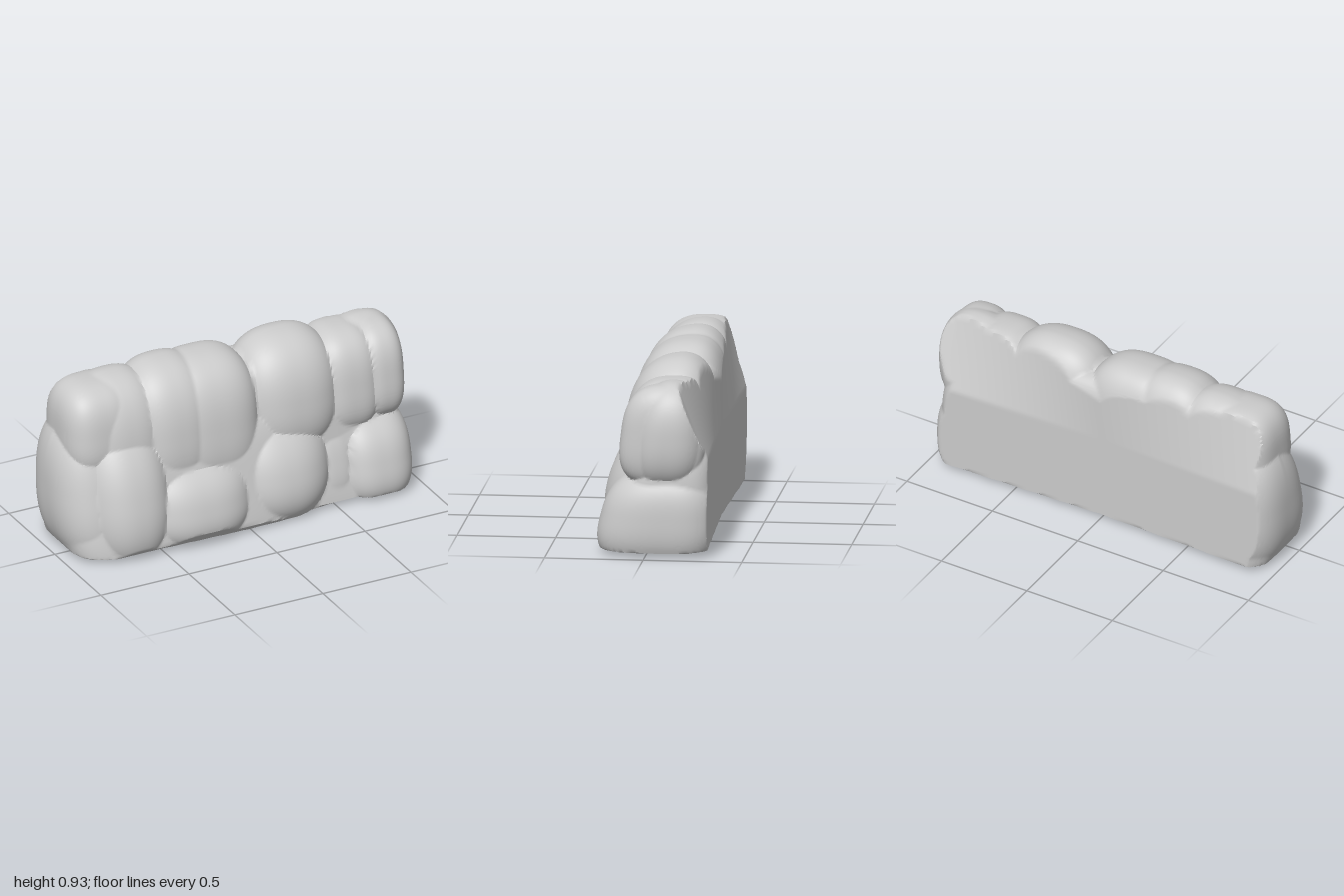
import * as THREE from 'three';
import { mergeVertices, toCreasedNormals } from 'three/addons/utils/BufferGeometryUtils.js';

// Each stone: x range, y range, front z, roundness exponent
const LOWER = [
  [-0.96, 0.4, -0.15, 0.67, 0.215, 4], // fill behind the joints
  [0.1, 0.95, -0.15, 0.63, 0.155, 4],
  [-1.0, -0.5, -0.06, 0.74, 0.17, 2.6],
  [-0.9, -0.38, -0.1, 0.74, 0.27, 2.4],
  [-0.62, 0.08, -0.06, 0.47, 0.3, 2.6],
  [-0.1, 0.54, -0.07, 0.58, 0.265, 2.3],
  [0.34, 0.7, -0.07, 0.52, 0.17, 2.6],
  [0.53, 0.985, -0.07, 0.45, 0.24, 2.8],
];
const UPPER = [
  [-0.93, 0.93, -0.2, 0.82, 0.135, 5], // fill behind the joints
  [-0.945, -0.55, 0.41, 0.895, 0.115, 3],
  [-0.86, -0.38, 0.2, 0.91, 0.15, 2.6],
  [-0.6, -0.1, 0.22, 0.93, 0.17, 2.6],
  [-0.42, 0.15, 0.2, 0.915, 0.175, 2.8],
  [0.04, 0.61, 0.27, 0.925, 0.16, 2.5],
  [0.47, 0.83, 0.32, 0.872, 0.13, 3],
  [0.7, 0.965, 0.36, 0.875, 0.13, 3],
  [0.6, 1.0, 0.34, 0.885, 0.06, 2.5],
];
// The lower course leans back more and is deeper than the upper one
const COURSES = [
  { stones: LOWER, lean: 0.25, back: 0.25 },
  { stones: UPPER, lean: 0.12, back: 0.19 },
];
const MID_Z = -0.11;

function insideStone([x0, x1, y0, y1, front, p], lean, back, x, y, z) {
  const yc = (y0 + y1) / 2;
  const dx = Math.abs((x - (x0 + x1) / 2) / ((x1 - x0) / 2));
  const dy = Math.abs((y - yc) / ((y1 - y0) / 2));
  if (dx > 1 || dy > 1) return false;
  const mid = z - MID_Z;
  const forward = (mid + lean * (y - yc)) / (front - MID_Z);
  const dz = mid < 0 ? -mid / back : Math.max(0, forward);
  return dx ** p + dy ** p + dz ** p < 1;
}

// Stones are cut by a flat underside and a back that leans forward at its upper ends
function inside(x, y, z) {
  const floor = 0.025 * Math.min(1, Math.abs(x) / 0.5);
  if (y < Math.max(floor, 0.03 * (0.22 - z) / 0.47)) return false;
  // Bevel along the front foot
  if (z > 0.21 + 1.1 * y) return false;
  const end = Math.min(1, Math.abs(x) / 0.9);
  const lean = (x > 0 ? 0.4 : 0.26) * Math.max(0, y - 0.5) * end;
  if (z < -0.283 - (x > 0 ? 0.031 : 0.02) * end + lean) return false;
  return COURSES.some(({ stones, lean: l, back }) =>
    stones.some((s) => insideStone(s, l, back, x, y, z)));
}

function createWallGeometry() {
  let geo = new THREE.BoxGeometry(2, 0.9, 0.6, 150, 64, 40);
  geo.deleteAttribute('normal');
  geo.deleteAttribute('uv');
  geo = mergeVertices(geo);
  const pos = geo.attributes.position;
  const a = new THREE.Vector3(), d = new THREE.Vector3();
  for (let i = 0; i < pos.count; i++) {
    // Push each point along a ray from the wall's axis to the outermost stone
    d.fromBufferAttribute(pos, i);
    d.y += 0.45;
    a.set(d.x * 0.8, 0.42, -0.1);
    d.sub(a);
    const hit = (t) => inside(a.x + d.x * t, a.y + d.y * t, a.z + d.z * t);
    let hi = 1.7;
    while (hi > 0.1 && !hit(hi)) hi -= 0.025;
    let lo = hi;
    hi += 0.025;
    for (let k = 0; k < 9; k++) {
      const mid = (lo + hi) / 2;
      if (hit(mid)) lo = mid; else hi = mid;
    }
    pos.setXYZ(i, a.x + d.x * lo, a.y + d.y * lo, a.z + d.z * lo);
  }
  return toCreasedNormals(geo, 0.6);
}

export function createModel() {
  const group = new THREE.Group();
  group.name = 'stoneWall';
  const wall = new THREE.Mesh(
    createWallGeometry(),
    new THREE.MeshStandardMaterial({ color: 0xcccccc })
  );
  wall.name = 'stones';
  group.add(wall);
  return group;
}
